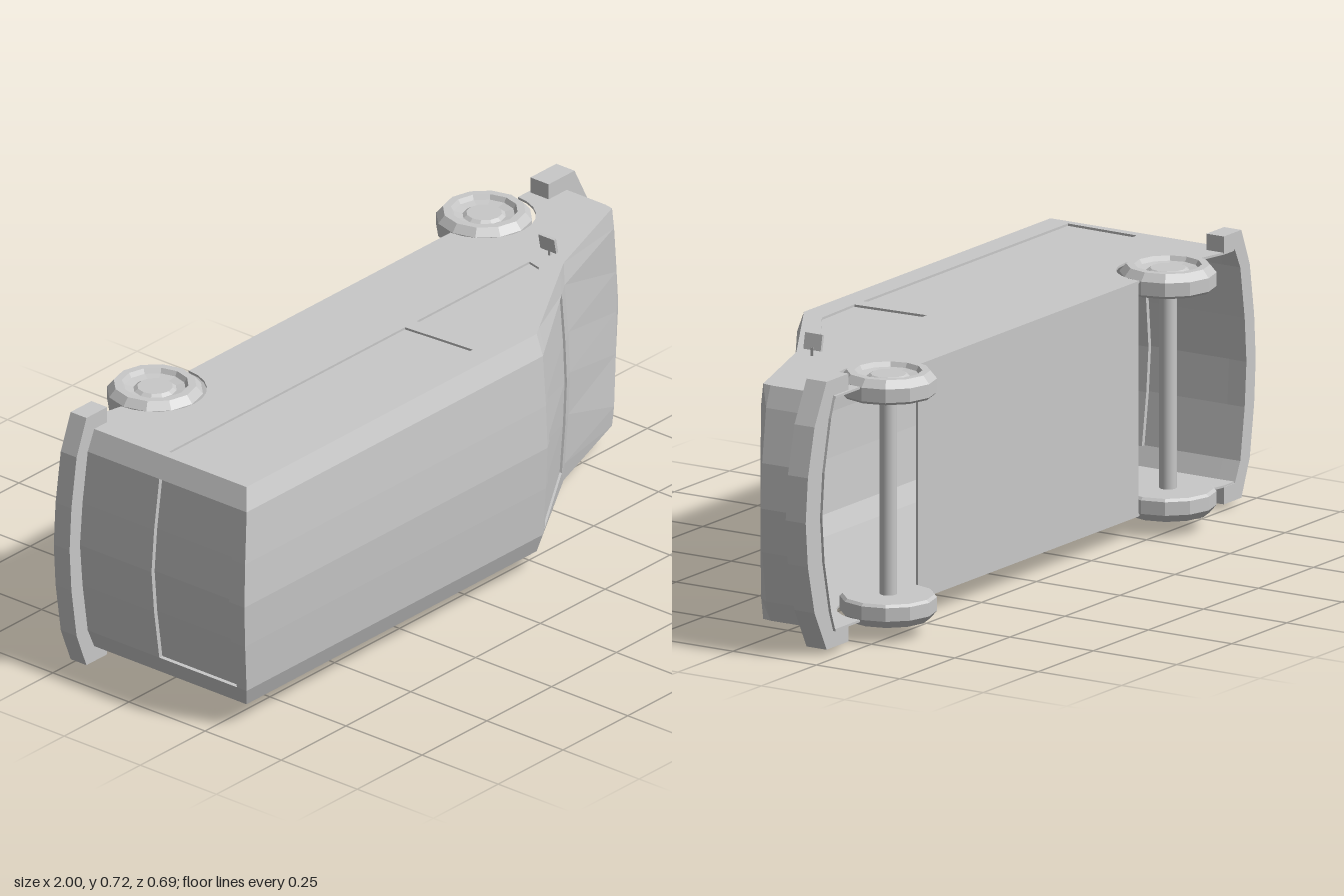
import * as THREE from 'three';

const V = (x, y) => new THREE.Vector2(x, y);
const HALF = 0.304, AXLE_X = 0.635, AXLE_H = -0.225, ARCH = 0.13, FLOOR = -0.225;

// Lengthwise outline of the van at one lateral station; inset sinks the screens
function outline(s, inset) {
  const [rear, roof, roofX, baseX, baseH, hoodX, hoodH, noseX, noseH] = s;
  const top = V(roofX, roof), base = V(baseX, baseH);
  const n = V(top.y - base.y, base.x - top.x).normalize().multiplyScalar(-inset);
  const w1 = top.clone().lerp(base, 0.08), w2 = top.clone().lerp(base, 0.87);
  return [
    V(rear, -0.245), V(rear, 0.04), V(rear + inset * 2, 0.04), V(rear + inset * 2, 0.295), V(rear, 0.295), V(rear, roof),
    top, w1, w1.clone().add(n), w2.clone().add(n), w2, base,
    V(hoodX, hoodH), V(noseX, noseH), V(noseX, FLOOR),
  ];
}

// rear x, roof height, roof front x, windscreen base, bonnet end, nose
const EDGE = [-0.905, 0.305, 0.215, 0.56, 0.1, 0.87, -0.005, 0.875, -0.03];
const SHOULDER = [-0.93, 0.327, 0.213, 0.55, 0.112, 0.872, 0, 0.895, -0.03];
const INNER = [-0.95, 0.339, 0.211, 0.56, 0.115, 0.893, -0.012, 0.925, -0.038];
const MIDDLE = [-0.96, 0.345, 0.21, 0.565, 0.116, 0.9, -0.016, 0.935, -0.04];

// Skin stretched over the stations, flat facets
function skinGeometry() {
  const half = [[HALF, EDGE, 0], [0.25, SHOULDER, 0], [0.25, SHOULDER, 0.006], [0.115, INNER, 0.006]];
  const rows = [
    ...half.map(([z, s, i]) => [-z, s, i]),
    [0, MIDDLE, 0.006],
    ...half.slice().reverse(),
  ].map(([z, s, i]) => outline(s, i).map((p) => new THREE.Vector3(p.x, p.y, z)));
  const pos = [], tri = new THREE.Triangle();
  const add = (a, b, c) => {
    if (tri.set(a, b, c).getArea() < 1e-8) return;
    for (const p of [a, b, c]) pos.push(p.x, p.y, p.z);
  };
  for (let j = 0; j < rows.length - 1; j++) {
    for (let i = 0; i < rows[j].length - 1; i++) {
      const a = rows[j][i], b = rows[j + 1][i], c = rows[j + 1][i + 1], d = rows[j][i + 1];
      add(a, b, c);
      add(a, c, d);
    }
  }
  const g = new THREE.BufferGeometry();
  g.setAttribute('position', new THREE.Float32BufferAttribute(pos, 3));
  g.computeVertexNormals();
  return g;
}

const SIDE_WINDOWS = [
  [V(-0.88, 0.03), V(0.03, 0.03), V(0.045, 0.24), V(-0.885, 0.24)],
  [V(0.075, 0.03), V(0.51, 0.03), V(0.5, 0.07), V(0.24, 0.235), V(0.085, 0.24)],
];

// Side wall with wheel arches and window openings
function sideShape() {
  const arch = (cx) => Array.from({ length: 13 }, (_, i) => {
    const a = (Math.PI * i) / 12;
    return V(cx + ARCH * Math.cos(a), AXLE_H + ARCH * Math.sin(a));
  });
  const shape = new THREE.Shape([...outline(EDGE, 0), ...arch(AXLE_X), ...arch(-AXLE_X), V(-0.86, -0.245)]
    .filter((p, i, all) => i === 0 || p.distanceTo(all[i - 1]) > 1e-5));
  SIDE_WINDOWS.forEach((w) => shape.holes.push(new THREE.Path(w)));
  return shape;
}

// Bumper from half of its plan (x, lateral), mirrored across the centre line
function bumperGeometry(half, height) {
  const mirrored = half.slice(1, -1).reverse().map(([x, z]) => [x, -z]);
  const shape = new THREE.Shape([...half, ...mirrored].map(([x, z]) => V(x, z)));
  return new THREE.ExtrudeGeometry(shape, { depth: height, bevelEnabled: false }).rotateX(-Math.PI / 2);
}

export function createModel() {
  const paint = new THREE.MeshStandardMaterial({ color: 0xc8c8c8, side: THREE.DoubleSide });
  paint.name = 'light grey';
  const van = new THREE.Group();
  van.name = 'van';
  const add = (name, geometry, x = 0, y = 0, z = 0, parent = van) => {
    const m = new THREE.Mesh(geometry, paint);
    m.name = name;
    m.position.set(x, y, z);
    parent.add(m);
    return m;
  };

  // Hollow body and the floor between the axles
  add('bodyShell', skinGeometry());
  add('floor', new THREE.BoxGeometry(1, 0.006, HALF * 2 - 0.004), 0, FLOOR + 0.003, 0);

  // Side walls with sunken glass
  const wall = new THREE.ExtrudeGeometry(sideShape(), { depth: 0.006, bevelEnabled: false });
  for (const s of [1, -1]) {
    const side = s > 0 ? 'right' : 'left';
    add(side + 'Wall', wall, 0, 0, s > 0 ? HALF - 0.006 : -HALF);
    SIDE_WINDOWS.forEach((w, i) => add(side + (i ? 'FrontWindow' : 'RearWindow'),
      new THREE.ShapeGeometry(new THREE.Shape(w)), 0, 0, s * (HALF - 0.006)));

    // Door mirror on a short stem
    add(side + 'MirrorStem', new THREE.BoxGeometry(0.006, 0.007, 0.03), 0.571, 0.045, s * 0.311);
    const mirror = add(side + 'Mirror', new THREE.BoxGeometry(0.008, 0.052, 0.042), 0.565, 0.045, s * 0.339);
    mirror.rotation.y = -s * 0.2;
  }

  // Wheels: chamfered tyre and dished rim, flat facets
  const profile = [[0, 0.258], [0.115, 0.258], [0.122, 0.265], [0.122, 0.3], [0.105, 0.32],
    [0.085, 0.32], [0.078, 0.308], [0.055, 0.304], [0.045, 0.311], [0, 0.311]].map(([r, h]) => V(r, h));
  const wheel = new THREE.LatheGeometry(profile, 12).rotateX(Math.PI / 2).toNonIndexed();
  wheel.computeVertexNormals();
  const axle = new THREE.CylinderGeometry(0.022, 0.022, 0.53, 12).rotateX(Math.PI / 2);
  for (const [end, x] of [['front', AXLE_X], ['rear', -AXLE_X]]) {
    add(end + 'Axle', axle, x, AXLE_H, 0);
    add(end + 'RightWheel', wheel, x, AXLE_H, 0);
    add(end + 'LeftWheel', wheel, x, AXLE_H, 0).rotation.y = Math.PI;
  }

  // Wrap-around bumpers
  add('frontBumper', bumperGeometry([[1, 0], [0.99, 0.115], [0.96, 0.24], [0.905, 0.346], [0.805, 0.346],
    [0.805, 0.302], [0.87, 0.302], [0.895, 0.25], [0.925, 0.115], [0.933, 0]], 0.06), 0, -0.218, 0);
  add('rearBumper', bumperGeometry([[-1, 0], [-0.993, 0.115], [-0.973, 0.25], [-0.935, 0.346], [-0.855, 0.346],
    [-0.855, 0.302], [-0.905, 0.302], [-0.93, 0.25], [-0.95, 0.115], [-0.958, 0]], 0.052), 0, -0.247, 0);

  // The van lies on its side: roof toward +z, nose toward +x
  van.rotation.x = Math.PI / 2;
  van.position.y = 0.361;
  const model = new THREE.Group();
  model.name = 'model';
  model.add(van);
  return model;
}
